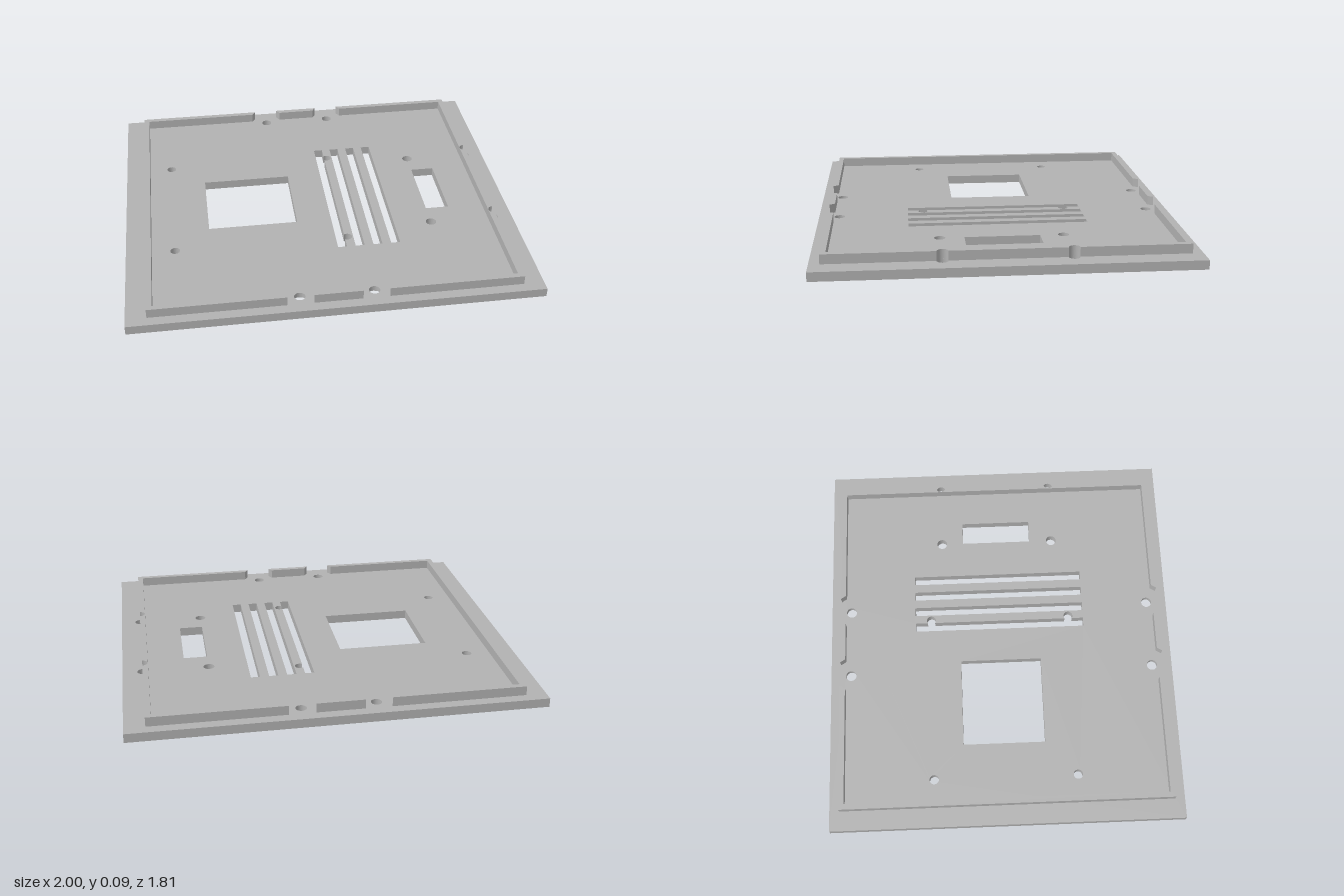
import * as THREE from 'three';

const BORE_Y = 0.02, PLATE_Y = 0.045, RIM_Y = 0.092;
const material = new THREE.MeshStandardMaterial({ color: 0xb2b2b2 });
material.name = 'grey plastic';

// Shapes are drawn in plan with shape y = -z, then laid flat.
function slab(name, shape, y0, y1) {
  const geometry = new THREE.ExtrudeGeometry(shape, { depth: y1 - y0, bevelEnabled: false, curveSegments: 24 });
  geometry.rotateX(-Math.PI / 2).translate(0, y0, 0);
  const mesh = new THREE.Mesh(geometry, material);
  mesh.name = name;
  return mesh;
}

function polygon(points) {
  return new THREE.Shape(points.map(([x, y]) => new THREE.Vector2(x, y)));
}

const rect = (x0, x1, y0, y1) => polygon([[x0, y0], [x1, y0], [x1, y1], [x0, y1]]);

function circle(x, y, r) {
  const path = new THREE.Path();
  path.absarc(x, y, r, 0, Math.PI * 2, false);
  return path;
}

// Vent slot whose right edge merges with two small round holes
function notchedSlot(x0, x1, y0, y1, cx, cy, r) {
  const a = Math.acos((x1 - cx) / r);
  const path = new THREE.Path();
  path.moveTo(x0, y0);
  path.lineTo(x1, y0);
  for (const s of [-1, 1]) path.absarc(cx, s * cy, r, -a, a, false);
  path.lineTo(x1, y1);
  path.lineTo(x0, y1);
  path.closePath();
  return path;
}

// One layer of the base plate; edgeHole is the radius of the four screw holes
function plateShape(edgeHole) {
  const shape = rect(-1, 1, -0.905, 0.905);
  shape.holes.push(
    rect(-0.577, -0.12, -0.21, 0.215),
    rect(0.57, 0.69, -0.182, 0.187),
    notchedSlot(0.058, 0.104, -0.45, 0.455, 0.118, 0.37, 0.024),
  );
  for (const x of [0.148, 0.239, 0.33]) shape.holes.push(rect(x, x + 0.046, -0.45, 0.455));
  for (const s of [-1, 1]) {
    shape.holes.push(
      circle(-0.755, s * 0.37, 0.024),
      circle(0.57, s * 0.302, 0.027),
      circle(0.9, s * 0.302, 0.027),
      circle(-0.18, s * 0.8, edgeHole),
      circle(0.18, s * 0.8, edgeHole),
    );
  }
  return shape;
}

// C-shaped half of the raised rim; side is +1 (left) or -1 (right)
const OX = 0.9, IX = 0.872, OZ = 0.854, IZ = 0.827;
function rimShape(side) {
  const shape = new THREE.Shape();
  shape.moveTo(side * 0.245, -OZ);
  shape.lineTo(side * OX, -OZ);
  // screw holes bite into the outer wall of the left half
  if (side > 0) {
    for (const s of [-1, 1]) shape.absarc(OX, s * 0.302, 0.027, -Math.PI / 2, Math.PI / 2, true);
  }
  shape.lineTo(side * OX, OZ);
  shape.lineTo(side * 0.245, OZ);
  shape.lineTo(side * 0.262, IZ);
  shape.lineTo(side * IX, IZ);
  shape.lineTo(side * IX, -IZ);
  shape.lineTo(side * 0.262, -IZ);
  shape.closePath();
  return shape;
}

export function createModel() {
  const model = new THREE.Group();
  model.name = 'ventedCover';

  // Base plate, with wider screw-head recesses underneath
  model.add(slab('plateUnderside', plateShape(0.046), 0, BORE_Y));
  model.add(slab('plateTop', plateShape(0.027), BORE_Y, PLATE_Y));

  // Raised rim halves
  model.add(slab('rimLeft', rimShape(1), PLATE_Y, RIM_Y));
  model.add(slab('rimRight', rimShape(-1), PLATE_Y, RIM_Y));

  // Short rim pieces between the screw holes, front and back
  for (const s of [-1, 1]) {
    const piece = polygon([[-0.117, s * OZ], [0.117, s * OZ], [0.1, s * IZ], [-0.1, s * IZ]]);
    model.add(slab(s < 0 ? 'rimFrontTab' : 'rimBackTab', piece, PLATE_Y, RIM_Y));
  }
  return model;
}
